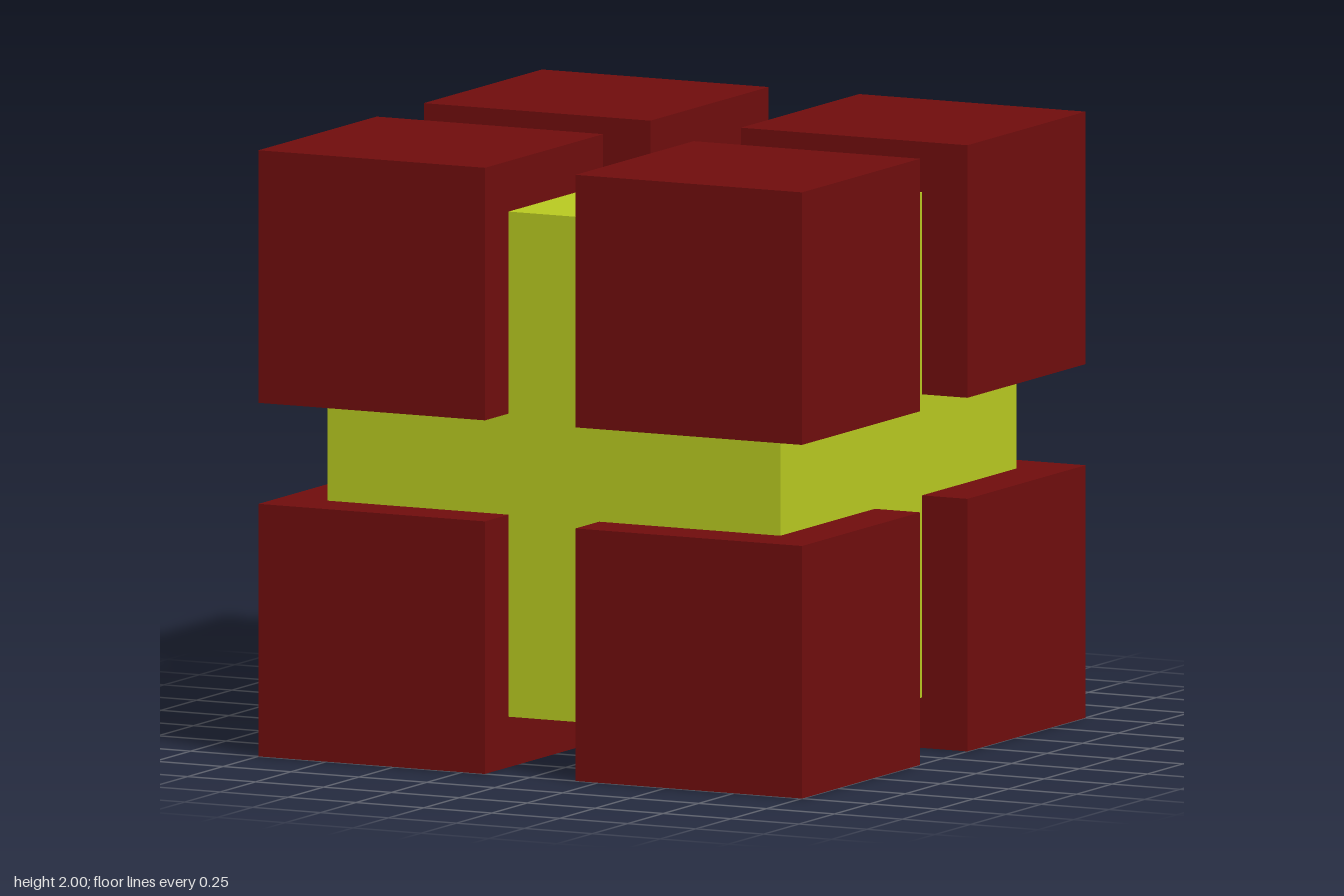
import * as THREE from 'three';

export function createModel() {
  const group = new THREE.Group();
  const yellowGreen = new THREE.MeshStandardMaterial({ color: 0xb8c921 });
  yellowGreen.name = 'yellowGreen';
  const darkRed = new THREE.MeshStandardMaterial({ color: 0x700d0d });
  darkRed.name = 'darkRed';

  const coreSize = 5 / 3;
  const cornerSize = 5 / 6;
  const offset = 1 - cornerSize / 2;

  // Central cube, seen in the gaps between the corner cubes
  const core = new THREE.Mesh(new THREE.BoxGeometry(coreSize, coreSize, coreSize), yellowGreen);
  core.name = 'core';
  core.position.y = 1;
  group.add(core);

  // Eight cubes, one on each corner
  const cornerGeometry = new THREE.BoxGeometry(cornerSize, cornerSize, cornerSize);
  for (const x of [-1, 1]) for (const y of [-1, 1]) for (const z of [-1, 1]) {
    const corner = new THREE.Mesh(cornerGeometry, darkRed);
    corner.name = `${y > 0 ? 'top' : 'bottom'}${z > 0 ? 'Front' : 'Back'}${x > 0 ? 'Left' : 'Right'}Corner`;
    corner.position.set(x * offset, 1 + y * offset, z * offset);
    group.add(corner);
  }
  return group;
}
